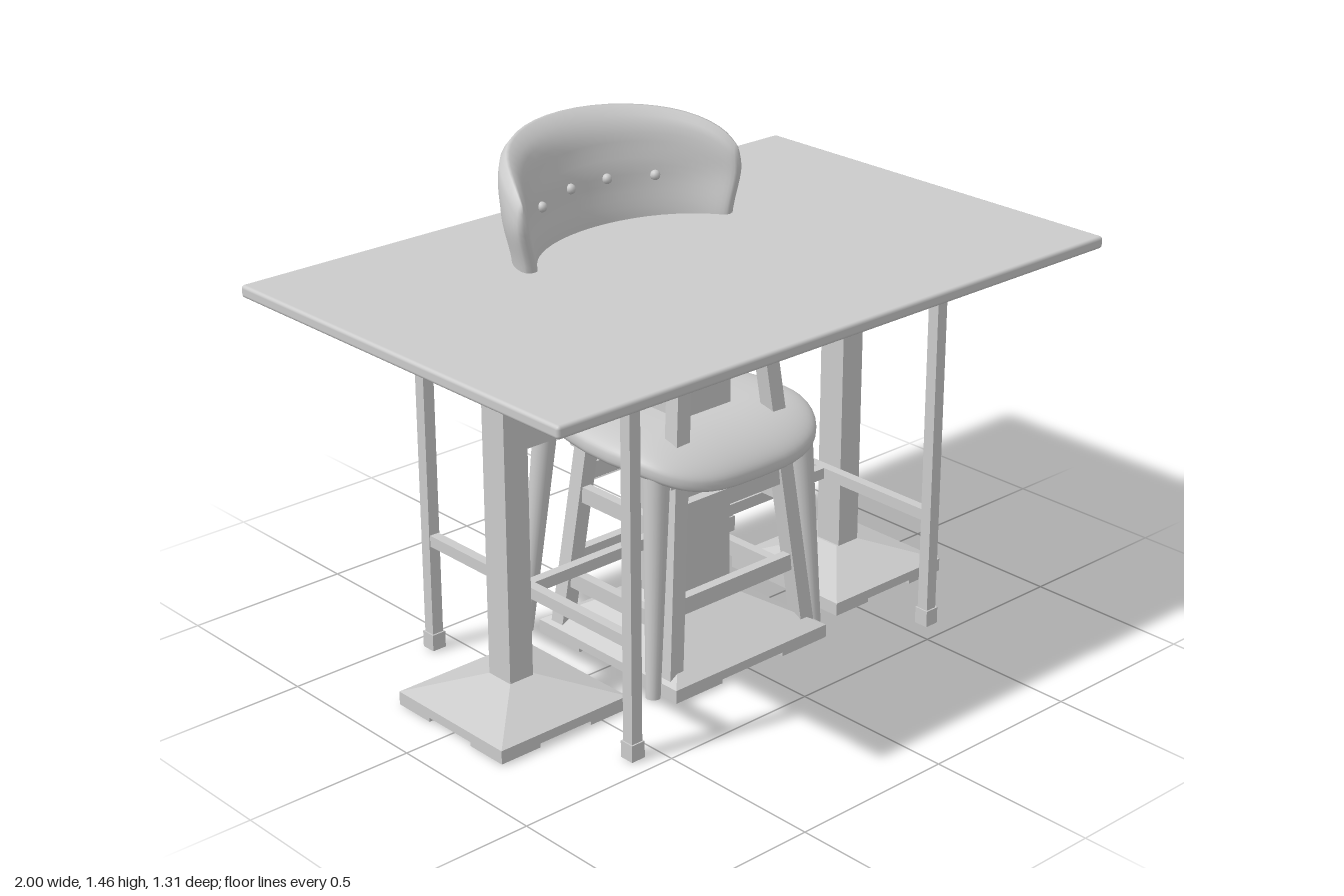
import * as THREE from 'three';
import { mergeVertices } from 'three/addons/utils/BufferGeometryUtils.js';
import { RoundedBoxGeometry } from 'three/addons/geometries/RoundedBoxGeometry.js';

const smooth = new THREE.MeshStandardMaterial({ color: 0xcccccc });
const flat = new THREE.MeshStandardMaterial({ color: 0xcccccc, flatShading: true });

function add(parent, name, geometry, x = 0, y = 0, z = 0, material = flat) {
  const mesh = new THREE.Mesh(geometry, material);
  mesh.name = name;
  mesh.position.set(x, y, z);
  parent.add(mesh);
  return mesh;
}

// Box given by centre x, z, bottom and top heights
function box(parent, name, w, d, y0, y1, x = 0, z = 0) {
  return add(parent, name, new THREE.BoxGeometry(w, y1 - y0, d), x, (y0 + y1) / 2, z);
}

// Tapered bar between two points
function strut(parent, name, a, b, rTop, rBottom, sides, material) {
  const top = new THREE.Vector3(...a), bottom = new THREE.Vector3(...b);
  const dir = top.clone().sub(bottom);
  const geometry = new THREE.CylinderGeometry(rTop, rBottom, dir.length(), sides);
  if (sides === 4) geometry.rotateY(Math.PI / 4);
  const mid = top.add(bottom).multiplyScalar(0.5);
  const mesh = add(parent, name, geometry, mid.x, mid.y, mid.z, material);
  mesh.quaternion.setFromUnitVectors(new THREE.Vector3(0, 1, 0), dir.normalize());
}

// Square foot plate with corner pads and a sloped top
function pedestalBase(parent, x, half, topHalf, slopeTop) {
  const base = new THREE.Group();
  base.name = 'pedestalBase';
  base.position.x = x;
  parent.add(base);
  box(base, 'basePlate', half * 2, half * 2, 0.012, 0.04);
  const slope = new THREE.CylinderGeometry(topHalf * Math.SQRT2, half * Math.SQRT2, slopeTop - 0.04, 4);
  add(base, 'baseSlope', slope.rotateY(Math.PI / 4), 0, (slopeTop + 0.04) / 2, 0);
  const pad = half * 0.6;
  for (const sx of [-1, 1]) for (const sz of [-1, 1])
    box(base, 'basePad', pad, pad, 0, 0.012, sx * (half - pad / 2), sz * (half - pad / 2));
}

function table() {
  const g = new THREE.Group();
  g.name = 'table';
  add(g, 'tableTop', new RoundedBoxGeometry(2, 0.036, 1.31, 2, 0.01), 0, 1.132, 0, smooth);
  for (const sx of [-1, 1]) {
    // Slim outer frame
    for (const sz of [-1, 1]) {
      box(g, 'framePost', 0.036, 0.036, 0.04, 1.115, sx * 0.573, sz * 0.427);
      box(g, 'postFoot', 0.045, 0.045, 0, 0.05, sx * 0.573, sz * 0.427);
    }
    box(g, 'sideTopRail', 0.036, 0.83, 1.08, 1.115, sx * 0.573);
    box(g, 'sideStretcher', 0.03, 0.83, 0.328, 0.362, sx * 0.573);
    box(g, 'longTopRail', 1.13, 0.036, 1.08, 1.115, 0, sx * 0.427);
    // Side pedestal with flared bracket
    pedestalBase(g, sx * 0.632, 0.222, 0.042, 0.105);
    box(g, 'sideColumn', 0.08, 0.09, 0.08, 1.0, sx * 0.637);
    const flare = new THREE.Shape([[-0.045, 0.96], [0.045, 0.96], [0.2, 1.115], [-0.2, 1.115]]
      .map(p => new THREE.Vector2(...p)));
    const bracket = new THREE.ExtrudeGeometry(flare, { depth: 0.08, bevelEnabled: false });
    add(g, 'columnBracket', bracket.translate(0, 0, -0.04).rotateY(Math.PI / 2), sx * 0.637);
  }
  box(g, 'crossBeam', 1.2, 0.06, 0.77, 0.88);
  box(g, 'middleStretcher', 1.13, 0.03, 0.328, 0.362);
  return g;
}

// Central pedestal with a splayed trestle around it
function trestle() {
  const g = new THREE.Group();
  g.name = 'trestle';
  pedestalBase(g, 0, 0.293, 0.095, 0.155);
  box(g, 'centreColumn', 0.19, 0.19, 0.1, 1.03);
  box(g, 'trestleHead', 0.31, 0.32, 1.02, 1.07);
  box(g, 'trestleCap', 0.38, 0.39, 1.068, 1.082);
  const legX = y => 0.255 - (y - 0.05) * 0.11;
  const legZ = y => 0.23 - (y - 0.05) * 0.08;
  for (const sx of [-1, 1]) {
    for (const sz of [-1, 1])
      strut(g, 'trestleLeg', [sx * legX(1.05), 1.05, sz * legZ(1.05)],
        [sx * legX(0.03), 0.03, sz * legZ(0.03)], 0.034, 0.034, 4, flat);
    for (const y of [0.515, 0.245])
      box(g, 'frontRung', 2 * legX(y), 0.03, y - 0.025, y + 0.025, 0, sx * legZ(y));
    for (const y of [0.455, 0.19])
      box(g, 'sideRung', 0.03, 2 * legZ(y), y - 0.024, y + 0.024, sx * legX(y));
  }
  return g;
}

// Chair back rows: height, half width, rear z, wing z
const rows = [
  [0.63, 0.33, -0.41, -0.21], [0.69, 0.35, -0.412, -0.17], [0.85, 0.355, -0.42, -0.24],
  [1.0, 0.375, -0.44, -0.235], [1.15, 0.415, -0.46, -0.195], [1.28, 0.445, -0.485, -0.19],
  [1.38, 0.44, -0.515, -0.2], [1.46, 0.425, -0.545, -0.23],
];
function backRow(y) {
  let i = 0;
  while (i < rows.length - 2 && y > rows[i + 1][0]) i++;
  const k = THREE.MathUtils.clamp((y - rows[i][0]) / (rows[i + 1][0] - rows[i][0]), 0, 1);
  const e = k * k * (3 - 2 * k) * 0.5 + k * 0.5;
  return rows[i].map((n, j) => THREE.MathUtils.lerp(n, rows[i + 1][j], e));
}

// Point on the back: s across (-1..1), height y, side 1 = rear, -1 = padded face
function backPoint(s, y, side, thick) {
  const [, w, zb, zf] = backRow(y), a = 1.4 * s, half = 0.045;
  const cx = w - half, depth = zf - zb - half;
  const p = new THREE.Vector3(cx * Math.sin(a) / Math.sin(1.4), y,
    zb + half + depth * (1 - Math.cos(a)) / (1 - Math.cos(1.4)));
  const n = new THREE.Vector3(depth * Math.sin(a), 0, -cx * Math.cos(a)).normalize();
  return p.addScaledVector(n, side * thick);
}

function backGeometry() {
  const across = 64, up = 36, pos = [], index = [];
  for (let j = 0; j <= up; j++) {
    const v = j / up;
    // Thickness closes off softly at the bottom and the top
    const edge = Math.min(1, v / 0.06, (1 - v) / 0.12);
    const thick = 0.006 + 0.039 * Math.sqrt(1 - (1 - edge) ** 2);
    for (let i = 0; i < across; i++) {
      const t = i / across * Math.PI * 2, s = Math.cos(t), c = Math.sin(t);
      const top = 1.462 - 0.06 * s * s - 0.06 * s ** 8;
      const p = backPoint(s, 0.632 + v * (top - 0.632), Math.sign(c) * Math.abs(c) ** 0.6, thick);
      pos.push(p.x, p.y, p.z);
      if (j < up) {
        const a = j * across + i, b = j * across + (i + 1) % across;
        index.push(a, a + across, b, b, a + across, b + across);
      }
    }
  }
  // Close the thin bottom and top edges
  for (const [row, flip] of [[0, false], [up * across, true]])
    for (let i = 0; i < across / 2; i++) {
      const a = row + i, b = row + i + 1, c = row + (across - i) % across, d = row + across - i - 1;
      index.push(...(flip ? [a, c, b, b, c, d] : [a, b, c, b, d, c]));
    }
  const g = new THREE.BufferGeometry();
  g.setAttribute('position', new THREE.Float32BufferAttribute(pos, 3));
  g.setIndex(index);
  g.computeVertexNormals();
  return g;
}

// Cushion: a squared-off ellipsoid that droops at the front
function seatGeometry() {
  let g = new THREE.SphereGeometry(1, 56, 32);
  const p = g.attributes.position, pw = (n, e) => Math.sign(n) * Math.abs(n) ** e;
  for (let i = 0; i < p.count; i++) {
    const y = p.getY(i), r = Math.hypot(p.getX(i), p.getZ(i)) || 1;
    const ring = Math.sqrt(Math.max(0, 1 - y * y)) ** 0.4;
    const z = -0.03 + 0.35 * ring * pw(p.getZ(i) / r, 0.6);
    const x = 0.34 * ring * pw(p.getX(i) / r, 0.6) * (z < 0 ? 1 + z * 0.45 : 1);
    const droop = Math.max(0, z - 0.1) ** 2 * 1.3;
    p.setXYZ(i, x, 0.683 + 0.05 * pw(y, 0.7) - droop, z);
  }
  g.deleteAttribute('uv');
  g.deleteAttribute('normal');
  g = mergeVertices(g, 1e-5);
  g.computeVertexNormals();
  return g;
}

function chair() {
  const g = new THREE.Group();
  g.name = 'chair';
  const material = smooth.clone();
  material.side = THREE.DoubleSide;
  add(g, 'seatCushion', seatGeometry(), 0, 0, 0, material);
  add(g, 'chairBack', backGeometry(), 0, 0, 0, material);
  // Tufting buttons in two rows
  for (const [y, spread] of [[1.275, 0.43], [1.07, 0.43]])
    for (const k of [-1, -0.3, 0.3, 1]) {
      const b = backPoint(k * spread, y - 0.01 * k * k, -1, 0.047);
      add(g, 'button', new THREE.SphereGeometry(0.015, 12, 8), b.x, b.y, b.z, smooth);
    }
  for (const sx of [-1, 1]) {
    strut(g, 'frontLeg', [sx * 0.27, 0.66, 0.19], [sx * 0.315, 0, 0.222], 0.038, 0.021, 20, smooth);
    strut(g, 'rearLeg', [sx * 0.25, 0.66, -0.295], [sx * 0.31, 0, -0.333], 0.036, 0.021, 20, smooth);
    box(g, 'seatRail', 0.03, 0.42, 0.6, 0.645, sx * 0.22);
  }
  return g;
}

export function createModel() {
  const model = new THREE.Group();
  model.name = 'tableAndChair';
  model.add(table(), trestle(), chair());
  return model;
}
